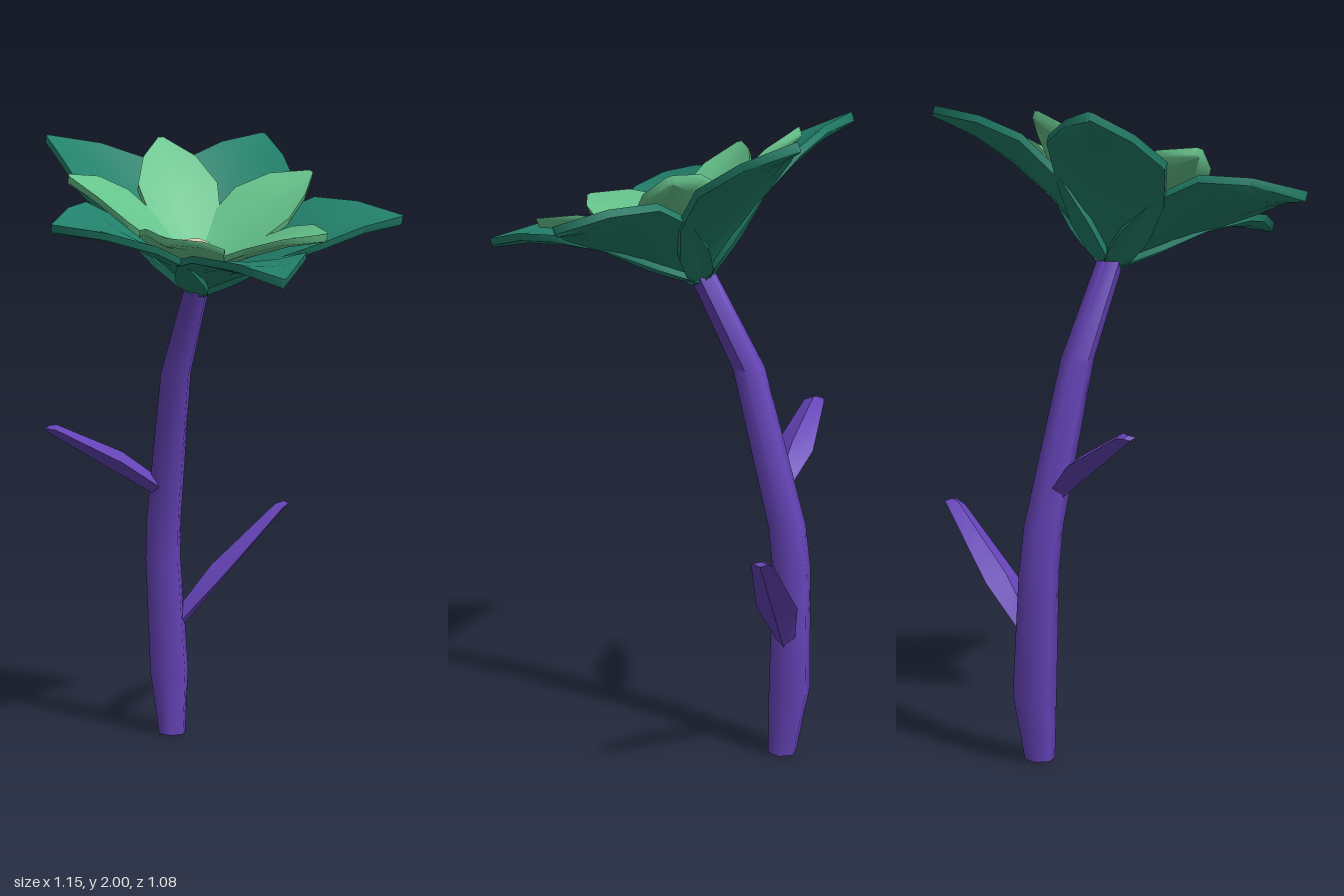
import * as THREE from 'three';
import { toCreasedNormals } from 'three/addons/utils/BufferGeometryUtils.js';

// Skin a closed solid over rings of [x, y, z] points (counter-clockwise seen from the far end)
function loft(rings, crease) {
  const n = rings[0].length;
  const pos = rings.flat(2);
  const index = [];
  for (let k = 0; k < rings.length - 1; k++) {
    for (let i = 0; i < n; i++) {
      const a = k * n + i, b = k * n + (i + 1) % n;
      index.push(a, b, b + n, a, b + n, a + n);
    }
  }
  const last = (rings.length - 1) * n;
  for (let i = 1; i < n - 1; i++) {
    index.push(0, i + 1, i, last, last + i, last + i + 1);
  }
  const geo = new THREE.BufferGeometry();
  geo.setAttribute('position', new THREE.Float32BufferAttribute(pos, 3));
  geo.setIndex(index);
  return toCreasedNormals(geo, crease);
}

// Cupped petal growing along +z; each station is [radius, height, half width]
function petalGeometry(stations, thickness, cup) {
  const across = [-1, -0.5, 0, 0.5, 1];
  const rings = stations.map(([r, h, w]) => {
    const rise = (u) => h + cup * u * u * (w / 0.18);
    const under = across.map((u) => [u * w, rise(u) - thickness * (1 - 0.25 * u * u), r]);
    const upper = across.map((u) => [u * w, rise(u), r]).reverse();
    return [...under, ...upper];
  });
  return loft(rings, 1.1);
}

// Keeled stem leaf growing along +z; each station is [distance, half width, height]
function leafGeometry(length) {
  const stations = [[0, 0.022, 0.05], [0.1, 0.035, 0.056], [0.42, 0.065, 0.068], [0.95, 0.034, 0.036], [1, 0.024, 0.018]];
  const rings = stations.map(([d, w, t]) => [
    [-w, t * 0.55, d * length], [0, 0, d * length], [w, t * 0.55, d * length], [0, t, d * length],
  ]);
  return loft(rings, 0.5);
}

export function createModel() {
  const material = (name, color) => {
    const m = new THREE.MeshStandardMaterial({ color });
    m.name = name;
    return m;
  };
  const purple = material('stem purple', 0x6443b6);
  const teal = material('outer petal teal', 0x22806a);
  const green = material('inner petal green', 0x66c48c);
  const beige = material('flower centre beige', 0xdcc4ae);

  const model = new THREE.Group();
  model.name = 'flower';
  const add = (parent, name, geo, mat) => {
    const mesh = new THREE.Mesh(geo, mat);
    mesh.name = name;
    parent.add(mesh);
    return mesh;
  };

  // Six-sided stem leaning forward: [y, centre x, centre z, radius]
  const stemPath = [
    [0, 0.012, -0.42, 0.047], [0.21, 0.01, -0.44, 0.068], [0.6, -0.012, -0.437, 0.062],
    [0.74, -0.015, -0.42, 0.061], [1.24, -0.02, -0.29, 0.052], [1.53, -0.002, -0.145, 0.043],
  ];
  const stemRings = stemPath.map(([y, cx, cz, r]) => Array.from({ length: 6 }, (_, i) => {
    const a = i * Math.PI / 3;
    return [cx + r * Math.cos(a), y, cz - r * Math.sin(a)];
  }));
  add(model, 'stem', loft(stemRings, 1.1), purple);

  // Stem leaves
  const addLeaf = (name, length, position, pitch, yaw) => {
    const leaf = add(model, name, leafGeometry(length), purple);
    leaf.position.set(...position);
    leaf.rotation.set(THREE.MathUtils.degToRad(-pitch), THREE.MathUtils.degToRad(yaw), 0, 'YXZ');
  };
  addLeaf('leftLeaf', 0.575, [0.035, 0.342, -0.43], 45, 92);
  addLeaf('rightLeaf', 0.45, [-0.045, 0.815, -0.385], 32, -95);

  // Flower head, tilted forward
  const head = new THREE.Group();
  head.name = 'flowerHead';
  head.position.set(0, 1.5, -0.15);
  head.rotation.x = THREE.MathUtils.degToRad(20);
  model.add(head);

  // Five petals around the head, from the front; lengths scale each petal's reach
  const addPetals = (name, geo, mat, offset, x, lengths) => {
    lengths.forEach((length, i) => {
      const petal = add(head, name + (i + 1), geo, mat);
      petal.rotation.y = (i + offset) * Math.PI * 2 / 5;
      petal.position.x = x;
      petal.scale.z = length;
    });
  };
  const outer = petalGeometry([
    [0, 0.03, 0.035], [0.03, 0.055, 0.075], [0.09, 0.105, 0.125], [0.2, 0.195, 0.17],
    [0.35, 0.275, 0.185], [0.48, 0.318, 0.105], [0.615, 0.34, 0.005],
  ], 0.032, 0.025);
  addPetals('outerPetal', outer, teal, 0, 0.004, [1, 0.98, 1.045, 1.045, 0.98]);

  const inner = petalGeometry([
    [0.01, 0.11, 0.035], [0.07, 0.145, 0.08], [0.15, 0.2, 0.12], [0.24, 0.26, 0.135],
    [0.34, 0.32, 0.09], [0.438, 0.362, 0.008],
  ], 0.028, 0.03);
  addPetals('innerPetal', inner, green, 0.5, -0.015, [1, 0.98, 1, 0.98, 1]);

  // Squat knob at the heart of the flower
  const knobGeometry = toCreasedNormals(new THREE.CylinderGeometry(0.055, 0.085, 0.07, 6), 1.1);
  const knob = add(head, 'flowerCentre', knobGeometry, beige);
  knob.position.set(-0.03, 0.142, -0.005);
  knob.rotation.y = Math.PI / 6;
  knob.scale.z = 0.8;

  return model;
}
